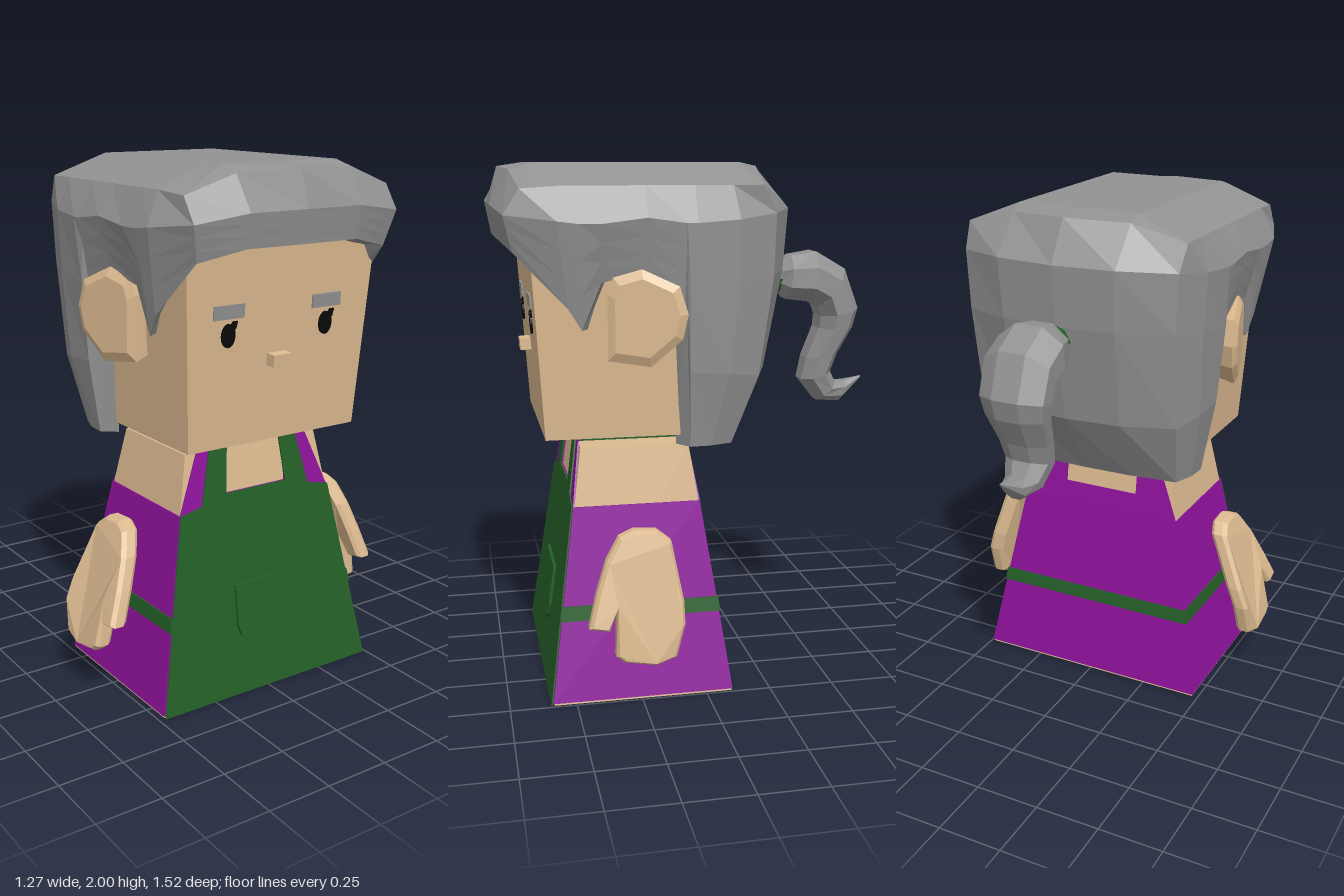
import * as THREE from 'three';

const mat = (name, color, side = THREE.FrontSide) => {
  const m = new THREE.MeshStandardMaterial({ color, side });
  m.name = name;
  return m;
};

// faceted look: split every face and give it its own normal
const facet = (g) => {
  const f = g.index ? g.toNonIndexed() : g;
  f.computeVertexNormals();
  return f;
};

const add = (parent, name, geo, material) => {
  const mesh = new THREE.Mesh(facet(geo), material);
  mesh.name = name;
  parent.add(mesh);
  return mesh;
};

// skin stretched over closed cross-sections, with optional end caps
function loft(rings, capStart = true, capEnd = true) {
  const n = rings[0].length, pos = rings.flat(2), idx = [];
  for (let j = 0; j < rings.length - 1; j++)
    for (let i = 0; i < n; i++) {
      const a = j * n + i, b = j * n + (i + 1) % n;
      idx.push(a, a + n, b + n, a, b + n, b);
    }
  const cap = (j, flip) => {
    const c = [0, 1, 2].map((k) => rings[j].reduce((s, p) => s + p[k], 0) / n);
    const ci = pos.length / 3;
    pos.push(...c);
    for (let i = 0; i < n; i++) {
      const a = j * n + i, b = j * n + (i + 1) % n;
      idx.push(ci, flip ? b : a, flip ? a : b);
    }
  };
  if (capStart) cap(0, false);
  if (capEnd) cap(rings.length - 1, true);
  const g = new THREE.BufferGeometry();
  g.setAttribute('position', new THREE.Float32BufferAttribute(pos, 3));
  g.setIndex(idx);
  return g;
}

const mirrorRings = (rings) => rings.map((r) => r.map(([x, y, z]) => [-x, y, z]).reverse());

const warp = (g, rule) => {
  const p = g.attributes.position;
  for (let i = 0; i < p.count; i++) p.setXYZ(i, ...rule(p.getX(i), p.getY(i), p.getZ(i)));
  return g;
};

// tapering torso dimensions at height y
const ZC = 0.2425;
const halfX = (y) => 0.482 - 0.19 * y;
const halfZ = (y) => 0.342 - 0.142 * y;

const torsoSlab = (y0, y1, grow) => warp(new THREE.BoxGeometry(2, 1, 2), (x, y, z) => {
  const h = y < 0 ? y0 : y1;
  return [x * (halfX(h) + grow), h, ZC + z * (halfZ(h) + grow)];
});

const shapeOf = (pts) => new THREE.Shape(pts.map(([x, y]) => new THREE.Vector2(x, y)));
const symmetric = (half) => shapeOf([...half, ...half.map(([x, y]) => [-x, y]).reverse()]);
const plate = (shape, depth) => new THREE.ExtrudeGeometry(shape, { depth, bevelEnabled: false, curveSegments: 8 });

// thin cloth lying on the sloping front (dir 1) or back (dir -1) of the torso
const cloth = (shape, dir, lift, depth) => warp(plate(shape, depth), (x, y, z) =>
  [x, y, ZC + dir * halfZ(y) + (dir > 0 ? lift + z : z - lift - depth)]);

export function createModel() {
  const model = new THREE.Group();
  model.name = 'figure';
  const skin = mat('skin', 0xdcba90);
  const purple = mat('purple dress', 0x8e129c);
  const green = mat('green apron', 0x245f27);
  const grey = mat('grey hair', 0x929292, THREE.DoubleSide);
  const black = mat('black eyes', 0x0a0a0a);

  // torso and dress
  const body = new THREE.Group();
  body.name = 'body';
  body.position.x = 0.007;
  model.add(body);
  add(body, 'torso', torsoSlab(0, 0.95, 0), skin);
  add(body, 'dress', torsoSlab(0.008, 0.73, 0.005), purple);
  const bib = symmetric([[0.345, 0.73], [0.25, 0.96], [0.14, 0.96], [0.14, 0.78]]);
  add(body, 'dressFront', cloth(bib, 1, 0, 0.006), purple);
  const backBib = symmetric([[0.345, 0.73], [0.25, 0.96], [0.16, 0.96], [0.16, 0.81]]);
  add(body, 'dressBack', cloth(backBib, -1, 0, 0.006), purple);

  // apron, straps, belt and pocket
  const apron = symmetric([[halfX(0), 0], [halfX(0.73) + 0.004, 0.73], [0.25, 0.75], [0.2, 0.96], [0.12, 0.97], [0.14, 0.78]]);
  add(body, 'apron', cloth(apron, 1, 0.006, 0.006), green);
  add(body, 'belt', torsoSlab(0.31, 0.365, 0.01), green);
  for (const s of [-1, 1])
    add(body, 'shoulderStrap', new THREE.BoxGeometry(0.08, 0.012, 0.42).translate(s * 0.16, 0.957, ZC), green);
  const nape = symmetric([[0.2, 0.915], [0.2, 0.963]]);
  add(body, 'napeStrap', cloth(nape, -1, 0.006, 0.01), green);
  const pocket = new THREE.Shape();
  pocket.moveTo(-0.135, 0.43);
  pocket.lineTo(-0.135, 0.27);
  pocket.bezierCurveTo(-0.12, 0.14, 0.12, 0.14, 0.135, 0.27);
  pocket.lineTo(0.135, 0.43);
  add(body, 'pocket', cloth(pocket, 1, 0.01, 0.014), green);

  // mitten hands: side outline as (z, y), bent outwards down their length
  const mitten = shapeOf([[0.28, 0.67], [0.2, 0.665], [0.155, 0.63], [0.12, 0.42], [0.12, 0.34], [0.15, 0.225],
    [0.22, 0.2], [0.33, 0.22], [0.355, 0.24], [0.355, 0.42], [0.395, 0.345], [0.45, 0.355], [0.42, 0.46], [0.38, 0.57], [0.33, 0.65]]);
  const hand = (name, top, mid, low) => {
    const g = new THREE.ExtrudeGeometry(mitten, { depth: 0.035, bevelThickness: 0.016, bevelSize: 0.011, bevelSegments: 1 });
    g.rotateY(-Math.PI / 2);
    warp(g, (x, y, z) => {
      const c = y > 0.35 ? mid + (top - mid) * (y - 0.35) / 0.33 : low + (mid - low) * (y - 0.19) / 0.16;
      return [x + 0.0175 + c, y, z];
    });
    add(model, name, g, skin);
  };
  hand('leftHand', 0.505, 0.6, 0.602);
  hand('rightHand', -0.45, -0.59, -0.605);

  // head
  const head = new THREE.Group();
  head.name = 'head';
  head.position.x = 0.007;
  model.add(head);
  add(head, 'skull', warp(new THREE.BoxGeometry(2, 1, 1), (x, y, z) => y < 0
    ? [x * 0.378, 1.0, z > 0 ? 0.585 : -0.09]
    : [x * 0.425, 1.86, z > 0 ? 0.639 : -0.2]), skin);

  // ears
  const outline = [[0.36, 1.3], [0.36, 1.54], [0.34, 1.6], [0.24, 1.63], [0.11, 1.57], [0.08, 1.47], [0.1, 1.38], [0.21, 1.28]];
  const earRing = (x, tilt, k) => outline.map(([z, y]) => {
    const zz = 0.24 + (z - 0.24) * k;
    return [x + tilt * (0.36 - zz), 1.46 + (y - 1.46) * k, zz];
  });
  const ear = [earRing(0.37, 0, 0.85), earRing(0.45, 0.27, 1), earRing(0.467, 0.27, 0.8)];
  add(head, 'leftEar', loft(ear), skin);
  add(head, 'rightEar', loft(mirrorRings(ear)), skin);

  // face details on the slightly sloping face
  const face = new THREE.Group();
  face.name = 'face';
  face.position.set(-0.007, 1.42, 0.6113);
  face.rotation.x = 0.0627;
  head.add(face);
  const eye = new THREE.Shape();
  eye.absellipse(0, 0, 0.029, 0.043, 0, Math.PI * 2);
  for (const x of [-0.225, 0.21]) {
    add(face, 'eye', plate(eye, 0.008).translate(x, -0.005, 0), black);
    const lash = shapeOf([[0.0, 0.02], [0.03, 0.015], [0.038, 0.045], [0.02, 0.045]]);
    add(face, 'eyelash', plate(lash, 0.007).translate(x, 0, 0), black);
    add(face, 'eyebrow', new THREE.BoxGeometry(0.13, 0.05, 0.008).translate(x, 0.08, 0.003), grey);
  }
  add(face, 'nose', new THREE.BoxGeometry(0.08, 0.045, 0.06).translate(-0.007, -0.112, 0.012), skin);

  // hair: columns from the front centre round to the back centre, top to hem
  const columns = [
    [[0, 1.985, 0.715], [0, 1.85, 0.757], [0, 1.73, 0.74]],
    [[0.25, 1.975, 0.685], [0.24, 1.85, 0.757], [0.24, 1.73, 0.735]],
    [[0.44, 1.91, 0.66], [0.44, 1.82, 0.72], [0.41, 1.69, 0.69]],
    [[0.45, 1.92, 0.52], [0.505, 1.8, 0.54], [0.45, 1.49, 0.5]],
    [[0.45, 1.92, 0.43], [0.507, 1.79, 0.46], [0.44, 1.41, 0.45]],
    [[0.45, 1.92, 0.37], [0.507, 1.79, 0.38], [0.45, 1.58, 0.38]],
    [[0.45, 1.92, 0.22], [0.51, 1.81, 0.22], [0.47, 1.62, 0.22]],
    [[0.45, 1.92, 0.08], [0.51, 1.79, 0.08], [0.47, 1.52, 0.08]],
    [[0.45, 1.92, 0.04], [0.51, 1.79, 0.04], [0.495, 1.55, 0.065], [0.47, 1.25, 0.06], [0.42, 0.96, 0.05]],
    [[0.45, 1.92, -0.1], [0.49, 1.8, -0.12], [0.48, 1.57, -0.12], [0.465, 1.24, -0.09], [0.415, 0.96, -0.03]],
    [[0.45, 1.92, -0.215], [0.44, 1.82, -0.265], [0.43, 1.59, -0.26], [0.42, 1.22, -0.21], [0.385, 0.96, -0.115]],
    [[0.24, 1.975, -0.24], [0.24, 1.83, -0.365], [0.23, 1.6, -0.35], [0.22, 1.22, -0.28], [0.2, 0.96, -0.135]],
    [[0, 1.985, -0.3], [0, 1.83, -0.39], [0, 1.6, -0.372], [0, 1.22, -0.3], [0, 0.96, -0.14]],
  ].map((c) => {
    const [r, s] = c, h = c[c.length - 1];
    const mid = (t) => s.map((v, k) => v + (h[k] - v) * t);
    const crown = [Math.min(r[0], 0.25), 2.0, THREE.MathUtils.clamp(r[2], -0.17, 0.6)];
    const lip = [h[0] * 0.86, h[1], ZC + (h[2] - ZC) * (h[2] > 0 ? 0.78 : 0.96)];
    return [crown, r, s, ...(c.length === 3 ? [mid(0.33), mid(0.67)] : [c[2], c[3]]), h, lip];
  });
  const around = [...columns, ...columns.slice(1, -1).reverse().map((c) => c.map(([x, y, z]) => [-x, y, z]))];
  add(model, 'hair', loft(around[0].map((_, j) => around.map((c) => c[j])), true, false), grey);

  // ponytail: upper and lower edge (z, y) with half width, then its tie
  const tail = [
    [-0.38, 1.6, -0.39, 1.5, 0.05], [-0.44, 1.635, -0.42, 1.46, 0.1], [-0.54, 1.65, -0.51, 1.45, 0.133],
    [-0.66, 1.58, -0.55, 1.43, 0.133], [-0.72, 1.42, -0.565, 1.39, 0.13], [-0.7, 1.34, -0.56, 1.34, 0.12],
    [-0.64, 1.23, -0.51, 1.22, 0.1], [-0.615, 1.16, -0.49, 1.13, 0.09], [-0.64, 1.11, -0.56, 1.04, 0.07],
    [-0.69, 1.115, -0.66, 1.03, 0.045], [-0.76, 1.13, -0.757, 1.12, 0.004],
  ].map(([zo, yo, zi, yi, w]) => Array.from({ length: 8 }, (_, i) => {
    const a = (i + 0.5) / 8 * Math.PI * 2, c = Math.cos(a) * 1.08, s = Math.sin(a) * 1.08 / 2;
    return [0.008 + c * w, (yo + yi) / 2 + s * (yo - yi), (zo + zi) / 2 + s * (zo - zi)];
  }));
  add(model, 'ponytail', loft(tail), grey);
  const tie = add(model, 'hairTie', new THREE.CylinderGeometry(0.065, 0.065, 0.06, 8).rotateX(Math.PI / 2), green);
  tie.position.set(0.008, 1.547, -0.37);
  tie.rotation.x = -0.1;

  return model;
}
